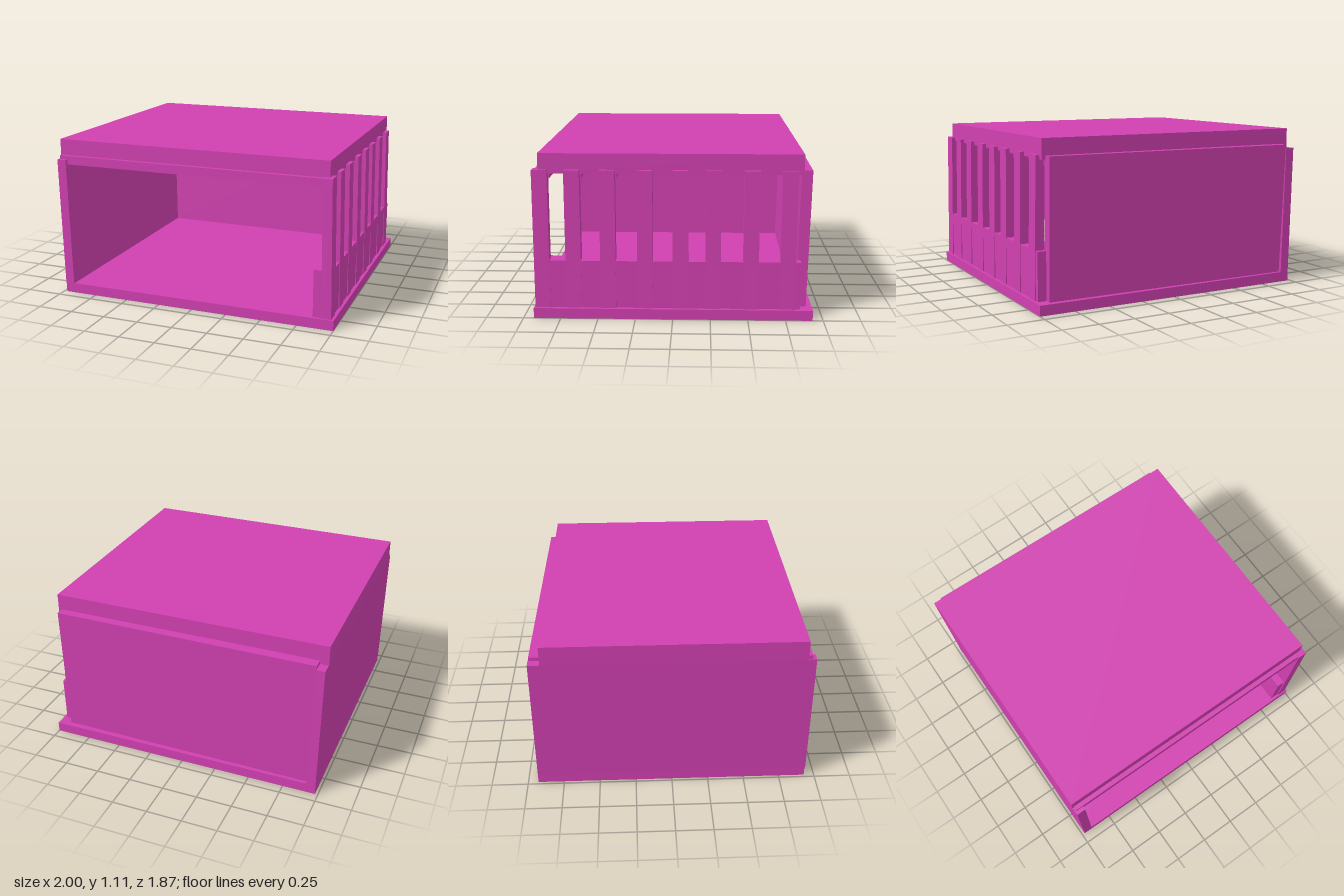
import * as THREE from 'three';

const material = new THREE.MeshStandardMaterial({ color: 0xd040b0, flatShading: true });

// Box between two corners; its top is shifted by leanX / leanZ, and z follows x by skew
function board(name, [x0, x1], [y0, y1], [z0, z1], { leanX = 0, leanZ = 0, skew = 0 } = {}) {
  const geo = new THREE.BoxGeometry(x1 - x0, y1 - y0, z1 - z0);
  geo.translate((x0 + x1) / 2, (y0 + y1) / 2, (z0 + z1) / 2);
  const p = geo.attributes.position;
  for (let i = 0; i < p.count; i++) {
    const t = (p.getY(i) - y0) / (y1 - y0);
    const s = (p.getX(i) - x0) / (x1 - x0);
    p.setX(i, p.getX(i) + leanX * t);
    p.setZ(i, p.getZ(i) + leanZ * t + skew * s);
  }
  geo.computeVertexNormals();
  const mesh = new THREE.Mesh(geo, material);
  mesh.name = name;
  return mesh;
}

export function createModel() {
  const model = new THREE.Group();
  model.name = 'openCrate';

  model.add(
    board('floor', [-0.98, 1], [0, 0.07], [-0.93, 0.93]),
    board('roof', [-1, 0.94], [0.975, 1.11], [-0.85, 0.88]),
    // Solid walls lean slightly outwards
    board('leftWall', [-0.98, -0.915], [0.065, 0.975], [-0.93, 0.935], { leanX: -0.018 }),
    board('backWall', [-0.94, 0.915], [0.065, 1], [-0.907, -0.835], { leanZ: -0.018, skew: 0.016 }),
    // Low board that closes the bottom of the slatted side
    board('lowerSideBoard', [0.855, 0.975], [0.065, 0.395], [-0.845, 0.91]),
  );

  // Upright slats on one side, each with a ceiling joist across the box
  const slatFronts = [0.92, 0.71, 0.48, 0.235, 0, -0.215, -0.465, -0.71];
  slatFronts.forEach((z) => {
    model.add(
      board('slat', [0.918, 0.982], [0.065, 1.003], [z - 0.102, z], { leanX: -0.016 }),
      board('ceilingJoist', [-0.99, 0.91], [0.94, 1], [z - 0.11, z - 0.01]),
    );
  });

  return model;
}
